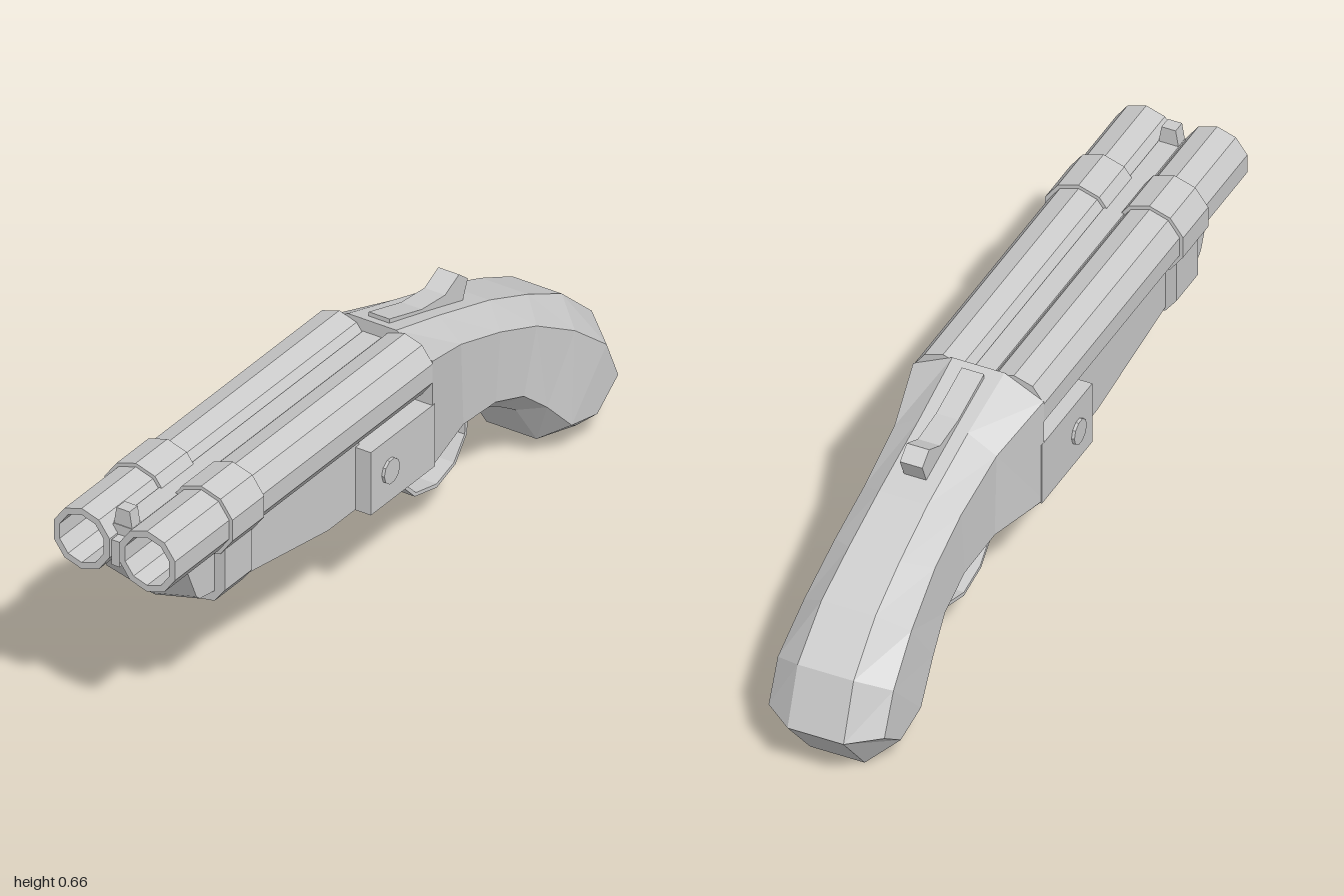
import * as THREE from 'three';

const mat = new THREE.MeshStandardMaterial({ color: 0xcccccc, flatShading: true });
const openMat = new THREE.MeshStandardMaterial({ color: 0xcccccc, flatShading: true, side: THREE.DoubleSide });

function add(parent, name, geometry, material = mat) {
  const mesh = new THREE.Mesh(geometry, material);
  mesh.name = name;
  parent.add(mesh);
  return mesh;
}

function box(x, y0, y1, z0, z1) {
  return new THREE.BoxGeometry(2 * x, y1 - y0, z1 - z0).translate(0, (y0 + y1) / 2, (z0 + z1) / 2);
}

// Side profile given as [z, y], extruded across x and centred
function sideProfile(points, width) {
  const shape = new THREE.Shape(points.map(([z, y]) => new THREE.Vector2(z, y)));
  return new THREE.ExtrudeGeometry(shape, { depth: width, bevelEnabled: false })
    .translate(0, 0, -width / 2).rotateY(-Math.PI / 2);
}

// Skin over mirrored half sections, each listed top to bottom as [x, y, z], front to back
function loft(halves) {
  const n = halves[0].length, N = 2 * n;
  const positions = [], index = [];
  for (const h of halves) {
    h.forEach(([x, y, z]) => positions.push(-x, y, z));
    [...h].reverse().forEach(([x, y, z]) => positions.push(x, y, z));
  }
  for (let i = 0; i < halves.length - 1; i++) {
    for (let j = 0; j < N; j++) {
      const a = i * N + j, b = i * N + (j + 1) % N;
      index.push(a, a + N, b, b, a + N, b + N);
    }
  }
  const cap = (base, flip) => {
    const tri = (a, b, c) => index.push(base + a, base + (flip ? c : b), base + (flip ? b : c));
    tri(0, n - 1, n);
    tri(0, n, N - 1);
    for (let j = 1; j < n - 1; j++) {
      tri(0, j, j + 1);
      tri(N - 1, N - 2 - j, N - 1 - j);
    }
  };
  cap(0, false);
  cap((halves.length - 1) * N, true);
  const g = new THREE.BufferGeometry();
  g.setAttribute('position', new THREE.Float32BufferAttribute(positions, 3));
  g.setIndex(index);
  g.computeVertexNormals();
  return g;
}

export function createModel() {
  const model = new THREE.Group();
  model.name = 'doubleBarrelProp';

  // Twin ten-sided barrels with open bores, collars and receiver pins
  const bore = [[0, -0.11], [0.085, -0.11], [0.085, 1], [0.067, 1], [0.067, 0.3], [0, 0.3]]
    .map(([r, z]) => new THREE.Vector2(r, z));
  for (const side of [-1, 1]) {
    const tag = side > 0 ? 'left' : 'right';
    const x = side * 0.095, y = 0.567;
    add(model, tag + 'Barrel', new THREE.LatheGeometry(bore, 10).rotateX(Math.PI / 2)).position.set(x, y, 0);
    const collar = [[0.08, 0.63], [0.095, 0.63], [0.095, 0.767], [0.08, 0.767]]
      .map(([r, z]) => new THREE.Vector2(r, z));
    add(model, tag + 'Collar', new THREE.LatheGeometry(collar, 10).rotateX(Math.PI / 2)).position.set(x, y, 0);
    add(model, tag + 'Pin', new THREE.CylinderGeometry(0.034, 0.034, 0.03, 10).rotateZ(Math.PI / 2))
      .position.set(side * 0.168, 0.387, 0.075);
  }

  // Rib between the barrels, with a tapered bead
  add(model, 'rib', box(0.027, 0.56, 0.617, -0.11, 0.965));
  add(model, 'barrelWeb', box(0.012, 0.52, 0.59, -0.11, 0.995));
  const bead = [[0.027, 0.613], [0.019, 0.662]];
  add(model, 'frontSight', loft([0.963, 0.928].map(z => [
    [bead[1][0], bead[1][1], z], [bead[0][0], bead[0][1], z],
  ])));

  // Fore-end with a shallow V underside
  const foreSection = (zTop, zSide, ySide, zMid, yMid) =>
    [[0.13, 0.5, zTop], [0.13, ySide, zSide], [0, yMid, zMid]];
  add(model, 'foreEnd', loft([
    foreSection(0.885, 0.84, 0.4, 0.84, 0.367),
    foreSection(0.82, 0.825, 0.387, 0.825, 0.355),
    foreSection(0.28, 0.28, 0.302, 0.28, 0.285),
    foreSection(0.265, 0.265, 0.301, 0.265, 0.3),
    foreSection(0.14, 0.14, 0.301, 0.14, 0.3),
  ]));

  // Strap wrapping the fore-end below the collars
  add(model, 'foreEndStrap', loft([0.762, 0.645].map(z => [
    [0.16, 0.53, z], [0.16, 0.388, z], [0.13, 0.349, z], [0, 0.328, z],
  ])));

  // Receiver
  add(model, 'receiver', box(0.175, 0.3, 0.476, -0.12, 0.155));

  // Curved grip: width, top half-width, bottom half-width, then [z, y] of top, upper side, lower side, bottom
  const gripRings = [
    [0.175, 0.07, 0.172, [-0.11, 0.652], [-0.11, 0.6], [-0.11, 0.305], [-0.11, 0.3]],
    [0.137, 0.065, 0.11, [-0.3, 0.597], [-0.29, 0.545], [-0.3, 0.315], [-0.3, 0.3]],
    [0.13, 0.065, 0.08, [-0.52, 0.53], [-0.47, 0.487], [-0.45, 0.3], [-0.44, 0.27]],
    [0.134, 0.068, 0.07, [-0.68, 0.467], [-0.62, 0.43], [-0.565, 0.26], [-0.545, 0.22]],
    [0.144, 0.072, 0.07, [-0.82, 0.4], [-0.77, 0.345], [-0.65, 0.19], [-0.625, 0.17]],
    [0.155, 0.075, 0.073, [-0.945, 0.29], [-0.89, 0.25], [-0.74, 0.098], [-0.71, 0.047]],
    [0.155, 0.075, 0.073, [-1, 0.136], [-0.94, 0.14], [-0.85, 0.075], [-0.88, 0]],
  ];
  add(model, 'grip', loft(gripRings.map(([w, t, b, top, up, low, bot]) => [
    [t, top[1], top[0]], [w, up[1], up[0]], [w, low[1], low[0]], [b, bot[1], bot[0]],
  ])));

  // Thumb lever on the tang
  add(model, 'topLever', sideProfile([
    [-0.14, 0.655], [-0.28, 0.612], [-0.38, 0.602], [-0.44, 0.63],
    [-0.478, 0.6], [-0.45, 0.535], [-0.3, 0.56], [-0.14, 0.62],
  ], 0.06));

  // Trigger and wide strip guard
  add(model, 'trigger', sideProfile([
    [-0.295, 0.31], [-0.318, 0.25], [-0.305, 0.205], [-0.265, 0.165],
    [-0.28, 0.158], [-0.325, 0.19], [-0.343, 0.25], [-0.335, 0.31],
  ], 0.04));
  const outer = [
    [-0.15, 0.305], [-0.137, 0.25], [-0.155, 0.185], [-0.21, 0.13],
    [-0.305, 0.108], [-0.385, 0.133], [-0.435, 0.195], [-0.44, 0.28],
  ];
  const inner = outer.map(([z, y]) => [-0.29 + (z + 0.29) * 0.93, 0.225 + (y - 0.225) * 0.91]).reverse();
  add(model, 'triggerGuard', sideProfile([...outer, ...inner], 0.113), openMat);

  return model;
}
